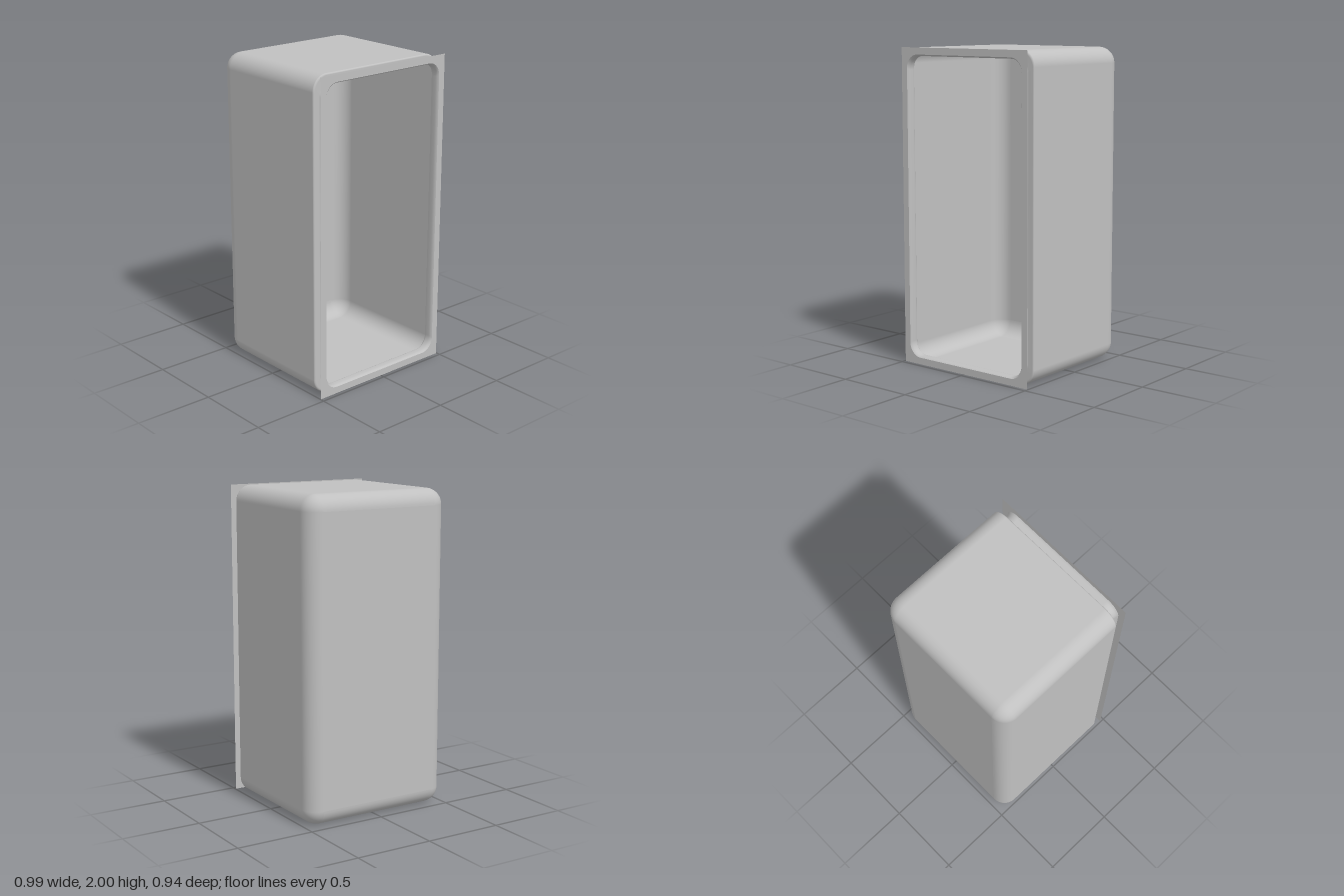
import * as THREE from 'three';

const HALF_W = 0.495, HALF_H = 1.0, ROUND = 0.1;
const BACK = -0.473, FRONT = 0.472, LIP = 0.411;
const STEPS = 12; // segments per rounded corner

// Rounded rectangle outline, counter-clockwise seen from the front
function outline(inset, radius) {
  const points = [];
  const cx = HALF_W - inset - radius, cy = HALF_H - inset - radius;
  [[1, 1], [-1, 1], [-1, -1], [1, -1]].forEach(([sx, sy], corner) => {
    for (let i = 0; i <= STEPS; i++) {
      const a = (corner + i / STEPS) * Math.PI / 2;
      points.push(new THREE.Vector2(sx * cx + radius * Math.cos(a), HALF_H + sy * cy + radius * Math.sin(a)));
    }
  });
  return points;
}

// Smooth skin through closed rings ordered from back to front
function loft(rings) {
  const n = rings[0].points.length, positions = [], index = [];
  for (const { points, z } of rings) for (const p of points) positions.push(p.x, p.y, z);
  for (let r = 0; r < rings.length - 1; r++) {
    for (let j = 0; j < n; j++) {
      const k = (j + 1) % n;
      const a = r * n + j, b = r * n + k, c = a + n, d = b + n;
      index.push(a, b, d, a, d, c);
    }
  }
  const geometry = new THREE.BufferGeometry();
  geometry.setAttribute('position', new THREE.Float32BufferAttribute(positions, 3));
  geometry.setIndex(index);
  geometry.computeVertexNormals();
  return geometry;
}

export function createModel() {
  const model = new THREE.Group();
  const grey = new THREE.MeshStandardMaterial({ color: 0xc0c0c0, side: THREE.DoubleSide });
  grey.name = 'light grey';
  const add = (name, geometry) => {
    const mesh = new THREE.Mesh(geometry, grey);
    mesh.name = name;
    model.add(mesh);
  };

  // Hollow body: flat back, rounded rear edges, straight walls
  const rings = [];
  const ring = (inset, radius, z) => rings.push({ points: outline(inset, radius), z });
  for (let i = 0; i <= STEPS; i++) {
    const a = i / STEPS * Math.PI / 2;
    ring(ROUND * (1 - Math.sin(a)), ROUND * Math.sin(a), BACK + ROUND * (1 - Math.cos(a)));
  }
  // Small rounding at the front edge of the walls
  for (let i = 0; i <= 4; i++) {
    const a = i / 4 * Math.PI / 2;
    ring(0.01 * (1 - Math.cos(a)), ROUND, LIP - 0.01 + 0.01 * Math.sin(a));
  }
  // Step inwards to the neck, which flares out again at the flange
  [[0.042, 0.411], [0.047, 0.413], [0.05, 0.418], [0.052, 0.427],
    [0.052, 0.45], [0.05, 0.46], [0.047, 0.467], [0.043, FRONT]]
    .forEach(([inset, z]) => ring(inset, 0.085, z));
  add('body', loft(rings));

  // Back panel
  const back = new THREE.PlaneGeometry(2 * (HALF_W - ROUND), 2 * (HALF_H - ROUND));
  back.rotateY(Math.PI).translate(0, HALF_H, BACK);
  add('backPanel', back);

  // Thin square-cornered flange around the rounded opening
  const plate = new THREE.Shape([
    new THREE.Vector2(-HALF_W, 0), new THREE.Vector2(HALF_W, 0),
    new THREE.Vector2(HALF_W, 2 * HALF_H), new THREE.Vector2(-HALF_W, 2 * HALF_H),
  ]);
  plate.holes.push(new THREE.Path(outline(0.043, 0.085).reverse()));
  add('frontFlange', new THREE.ShapeGeometry(plate).translate(0, 0, FRONT));

  return model;
}
